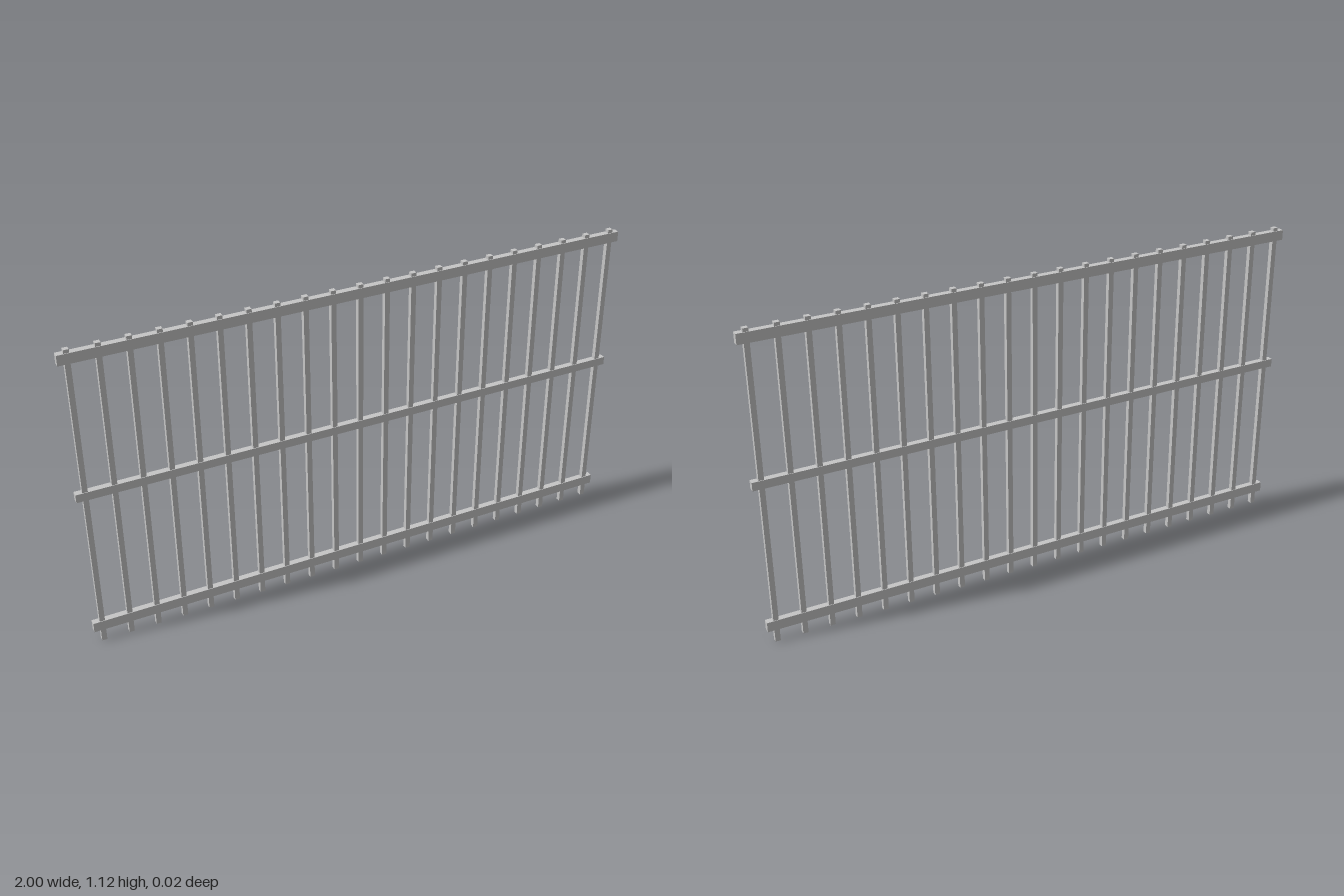
import * as THREE from 'three';

export function createModel() {
  const group = new THREE.Group();
  group.name = 'barFence';
  const steel = new THREE.MeshStandardMaterial({ color: 0xc6c6c6 });
  steel.name = 'light grey steel';

  const addBox = (name, w, h, d, x, y) => {
    const mesh = new THREE.Mesh(new THREE.BoxGeometry(w, h, d), steel);
    mesh.name = name;
    mesh.position.set(x, y, 0);
    group.add(mesh);
  };

  // Horizontal rails, the middle one slimmer
  addBox('bottomRail', 2, 0.036, 0.022, 0, 0.065);
  addBox('middleRail', 2, 0.03, 0.022, 0, 0.596);
  addBox('topRail', 2, 0.036, 0.022, 0, 1.095);

  // Evenly spaced square bars, running through all three rails
  const barCount = 21, height = 1.125, reach = 0.968;
  for (let i = 0; i < barCount; i++) {
    const x = -reach + (2 * reach * i) / (barCount - 1);
    addBox('bar' + (i + 1), 0.018, height, 0.017, x, height / 2);
  }
  return group;
}
